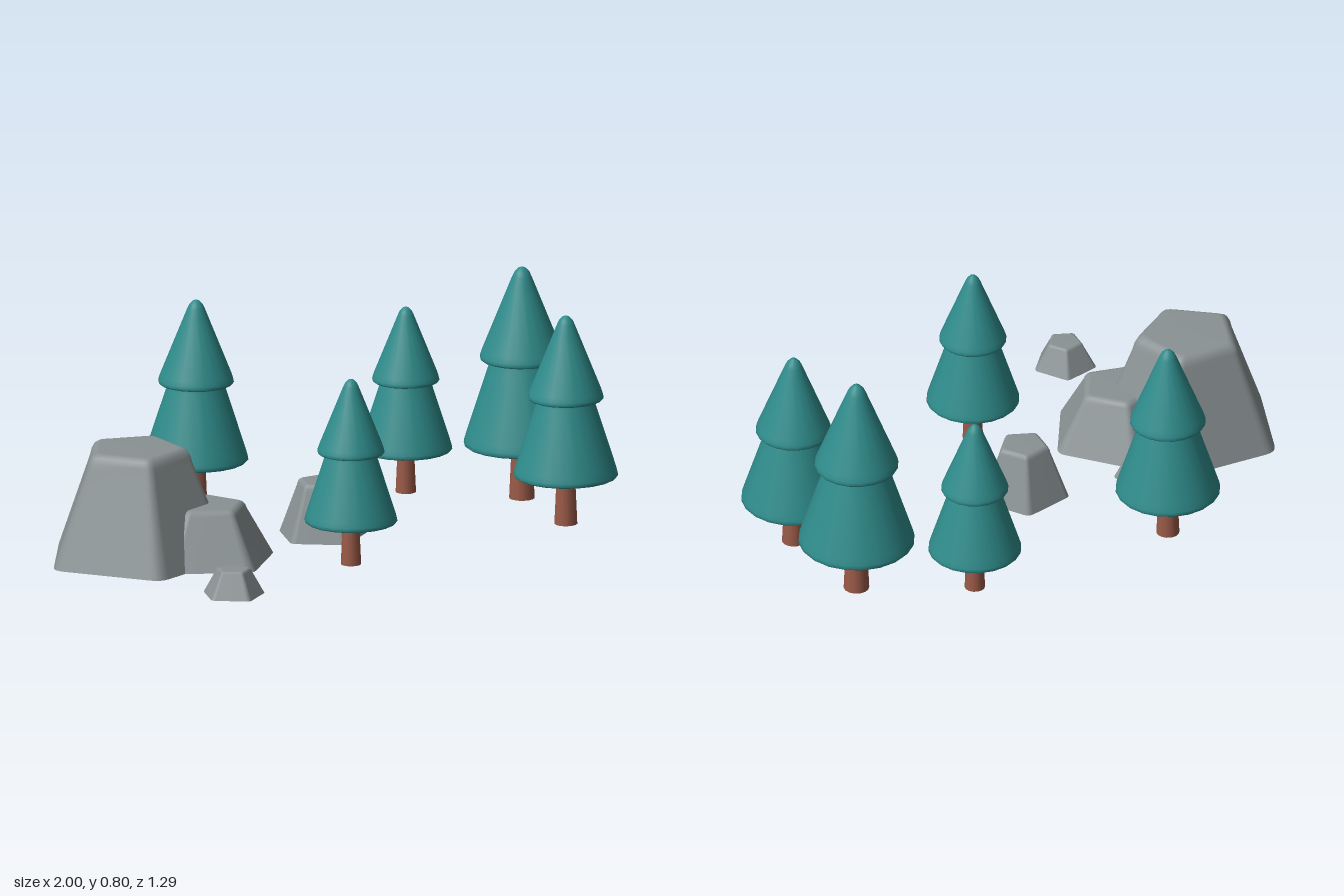
import * as THREE from 'three';

const leafMat = new THREE.MeshStandardMaterial({ color: 0x2f8b8b });
const trunkMat = new THREE.MeshStandardMaterial({ color: 0x9a5a48 });
const rockMat = new THREE.MeshStandardMaterial({ color: 0x8a9294, side: THREE.DoubleSide });

// Two stacked skirts with soft rims and a rounded tip, for a tree 0.8 tall
const foliageProfile = [
  [0, 0.185], [0.175, 0.185], [0.189, 0.184], [0.195, 0.19], [0.193, 0.202], [0.187, 0.222],
  [0.109, 0.465], [0.103, 0.482], [0.106, 0.484], [0.126, 0.483], [0.137, 0.481], [0.141, 0.487],
  [0.139, 0.497], [0.133, 0.515], [0.045, 0.735], [0.033, 0.765], [0.025, 0.782], [0.013, 0.795], [0, 0.8],
].map(([r, y]) => new THREE.Vector2(r, y));

function makeTree(x, z, height) {
  const tree = new THREE.Group();
  tree.name = 'tree';
  const foliage = new THREE.Mesh(new THREE.LatheGeometry(foliageProfile, 20), leafMat);
  foliage.name = 'foliage';
  const trunk = new THREE.Mesh(new THREE.CylinderGeometry(0.033, 0.043, 0.22, 14), trunkMat);
  trunk.name = 'trunk';
  trunk.position.y = 0.11;
  tree.add(foliage, trunk);
  tree.position.set(x, 0, z);
  tree.scale.setScalar(height / 0.8);
  return tree;
}

// Pentagon outline of radius 1 with rounded corners
function roundedPentagon() {
  const corners = [0, 1, 2, 3, 4].map((i) => {
    const a = (i * Math.PI * 2) / 5;
    return new THREE.Vector2(Math.cos(a), Math.sin(a)).multiplyScalar(1.035);
  });
  return corners.flatMap((c, i) => {
    const from = c.clone().lerp(corners[(i + 4) % 5], 0.1);
    const to = c.clone().lerp(corners[(i + 1) % 5], 0.1);
    return new THREE.QuadraticBezierCurve(from, c, to).getPoints(4);
  });
}

// Tapered rock, open underneath, with a rounded upper edge
function rockGeometry() {
  const outline = roundedPentagon();
  const rings = [[1, 0], [0.595, 0.86], [0.575, 0.92], [0.54, 0.97], [0.49, 0.995], [0.45, 1]];
  const n = outline.length;
  const positions = [];
  const index = [];
  rings.forEach(([r, y], j) => {
    outline.forEach((p, i) => {
      positions.push(p.x * r, y, p.y * r);
      if (j === rings.length - 1) return;
      const a = j * n + i;
      const b = j * n + ((i + 1) % n);
      index.push(a, a + n, b, b, a + n, b + n);
    });
  });
  // Top face
  const last = (rings.length - 1) * n;
  positions.push(0, 1, 0);
  for (let i = 0; i < n; i++) index.push(rings.length * n, last + ((i + 1) % n), last + i);
  const geometry = new THREE.BufferGeometry();
  geometry.setAttribute('position', new THREE.Float32BufferAttribute(positions, 3));
  geometry.setIndex(index);
  return geometry;
}

function makeRock(name, x, z, radius, height, degrees) {
  // Scaled before the normals are made, so the shading suits each size
  const geometry = rockGeometry().scale(radius, height, radius);
  geometry.computeVertexNormals();
  const rock = new THREE.Mesh(geometry, rockMat);
  rock.name = name;
  rock.position.set(x, 0, z);
  rock.rotation.y = -THREE.MathUtils.degToRad(degrees);
  return rock;
}

export function createModel() {
  const model = new THREE.Group();
  model.name = 'forestClearing';

  // Trees: x, z, height
  [
    [-0.195, -0.47, 0.72],
    [-0.115, 0.405, 0.64],
    [0.51, -0.285, 0.64],
    [0.803, -0.02, 0.8],
    [0.762, 0.335, 0.72],
  ].forEach((t) => model.add(makeTree(...t)));

  // Rocks: name, x, z, radius, height, turn of a corner
  [
    ['largeRock', -0.685, -0.04, 0.318, 0.38, 34],
    ['mediumRock', -0.49, 0.1, 0.233, 0.19, 9],
    ['roundRock', -0.01, 0.04, 0.152, 0.19, 90],
    ['smallRockBack', -0.37, -0.16, 0.098, 0.09, 40],
    ['smallRockFront', -0.65, 0.535, 0.106, 0.09, 90],
  ].forEach((r) => model.add(makeRock(...r)));

  return model;
}
